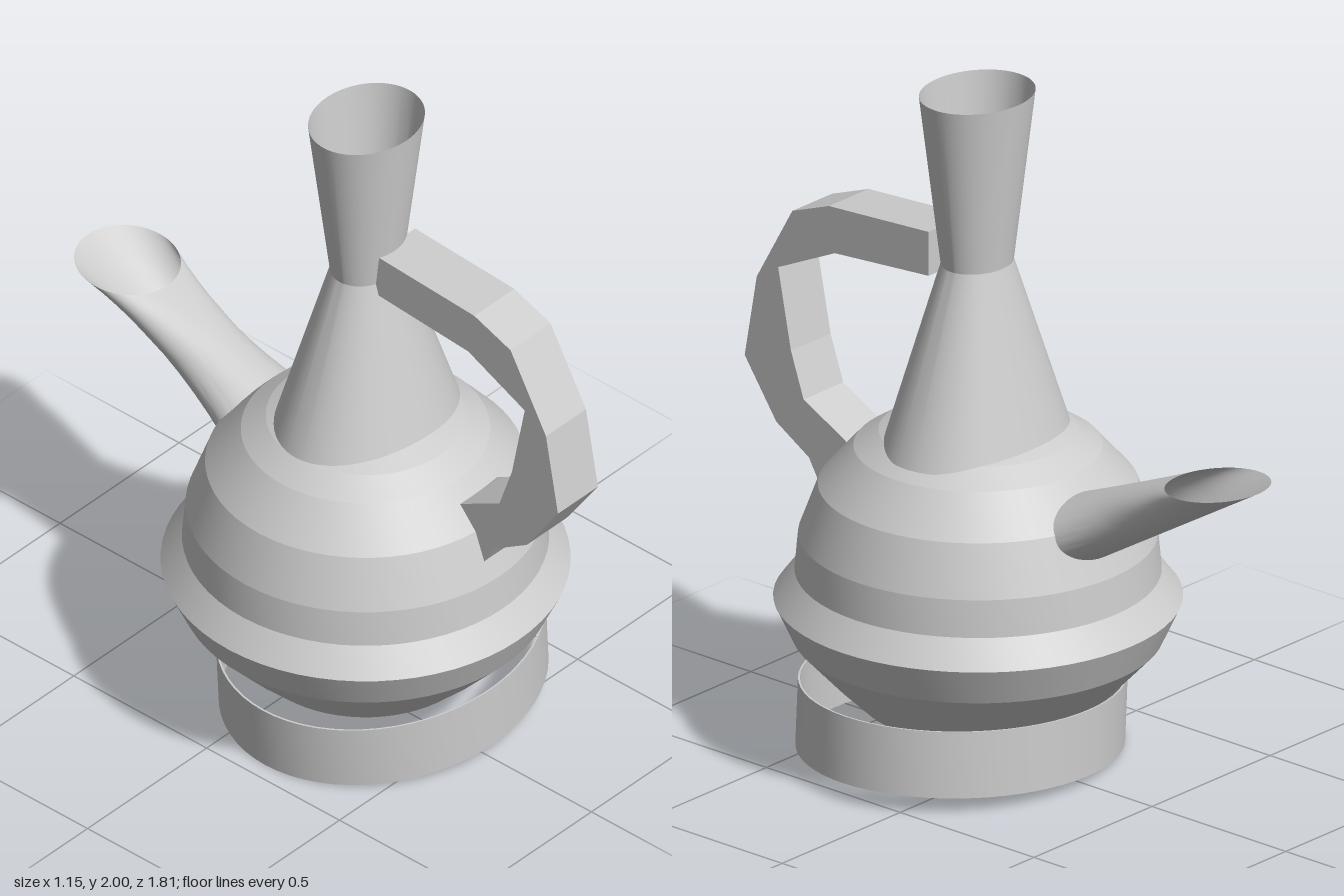
import * as THREE from 'three';
import { toCreasedNormals } from 'three/addons/utils/BufferGeometryUtils.js';

const SIDES = 64;

export function createModel() {
  const group = new THREE.Group();
  const clay = new THREE.MeshStandardMaterial({ color: 0xcccccc, side: THREE.DoubleSide });
  clay.name = 'grey clay';

  const add = (name, geometry, x = 0, y = 0, z = 0) => {
    const mesh = new THREE.Mesh(geometry, clay);
    mesh.name = name;
    mesh.position.set(x, y, z);
    group.add(mesh);
    return mesh;
  };
  const lathe = (profile) => toCreasedNormals(
    new THREE.LatheGeometry(profile.map(([r, y]) => new THREE.Vector2(r, y)), SIDES), 0.17);

  // Round belly with a flared shoulder, closed at both ends
  add('body', lathe([
    [0, 0.05], [0.17, 0.075], [0.33, 0.157], [0.415, 0.24], [0.522, 0.355], [0.575, 0.47],
    [0.515, 0.55], [0.505, 0.66], [0.45, 0.81], [0.35, 0.925], [0.28, 0.972], [0.2, 1.005], [0, 1.02],
  ]), 0, 0, 0.15);

  // Oval neck: cone narrowing to a waist, then an open flared mouth
  const neckRings = [[0.95, 0.302, 0.24], [1.49, 0.113, 0.094], [2, 0.18, 0.15]];
  const neck = new THREE.Group();
  neck.name = 'neck';
  for (let i = 0; i < 2; i++) {
    const geometry = loft([neckRings[i], neckRings[i + 1]].map(([y, rx, rz]) => ({
      c: [0, y, 0], u: [0, 0, rz], w: rx })));
    const mesh = new THREE.Mesh(geometry, clay);
    mesh.name = i ? 'neckMouth' : 'neckCone';
    neck.add(mesh);
  }
  neck.position.set(0.015, 0, 0.14);
  group.add(neck);

  // Spout: straight top and bottom edges, pinched in width, open at the tip
  const sections = [];
  for (let i = 0; i <= 10; i++) {
    const t = i / 10;
    const top = [THREE.MathUtils.lerp(-0.15, -0.605, t), THREE.MathUtils.lerp(0.85, 1.037, t)];
    const low = [THREE.MathUtils.lerp(-0.25, -0.905, t), THREE.MathUtils.lerp(0.67, 1.065, t)];
    sections.push({
      c: [0, (top[1] + low[1]) / 2, (top[0] + low[0]) / 2],
      u: [0, (top[1] - low[1]) / 2, (top[0] - low[0]) / 2],
      w: 0.112 + 0.18 * (t - 0.56) ** 2 + (t > 0.56 ? 0.003 : 0),
    });
  }
  add('spout', loft(sections), 0.01);

  // Angular handle: outline drawn in the z-y plane, extruded along x
  const outline = [
    [0.22, 1.59], [0.593, 1.567], [0.73, 1.515], [0.863, 1.28], [0.908, 1.03], [0.79, 0.86],
    [0.668, 0.785], [0.63, 0.72], [0.52, 0.865], [0.545, 0.88], [0.688, 0.955], [0.735, 1.09],
    [0.783, 1.33], [0.571, 1.43], [0.22, 1.457],
  ].map(([z, y]) => new THREE.Vector2(z, y));
  const handle = new THREE.ExtrudeGeometry(new THREE.Shape(outline), { depth: 0.168, bevelEnabled: false });
  handle.rotateY(-Math.PI / 2); // shape x -> +z, depth -> -x
  add('handle', handle, 0.13);

  // Thin oval foot ring, slightly tilted
  const foot = add('footRing', lathe([
    [0.988, -0.099], [1, -0.099], [1, 0.099], [0.988, 0.099], [0.988, -0.099],
  ]), 0.042, 0.131, 0.175);
  foot.scale.set(0.497, 1, 0.434);
  foot.rotation.z = 0.055;

  return group;
}

// Open tube through ellipses: centre c, half axis u, half width w along x
function loft(sections) {
  const positions = [], indices = [], row = SIDES + 1;
  sections.forEach(({ c, u, w }, j) => {
    for (let i = 0; i <= SIDES; i++) {
      const a = (i / SIDES) * Math.PI * 2;
      positions.push(c[0] + Math.sin(a) * w, c[1] + Math.cos(a) * u[1], c[2] + Math.cos(a) * u[2]);
      if (j && i) {
        const p = j * row + i, q = p - row;
        indices.push(q - 1, q, p, q - 1, p, p - 1);
      }
    }
  });
  const geometry = new THREE.BufferGeometry();
  geometry.setAttribute('position', new THREE.Float32BufferAttribute(positions, 3));
  geometry.setIndex(indices);
  return toCreasedNormals(geometry, 0.6);
}
